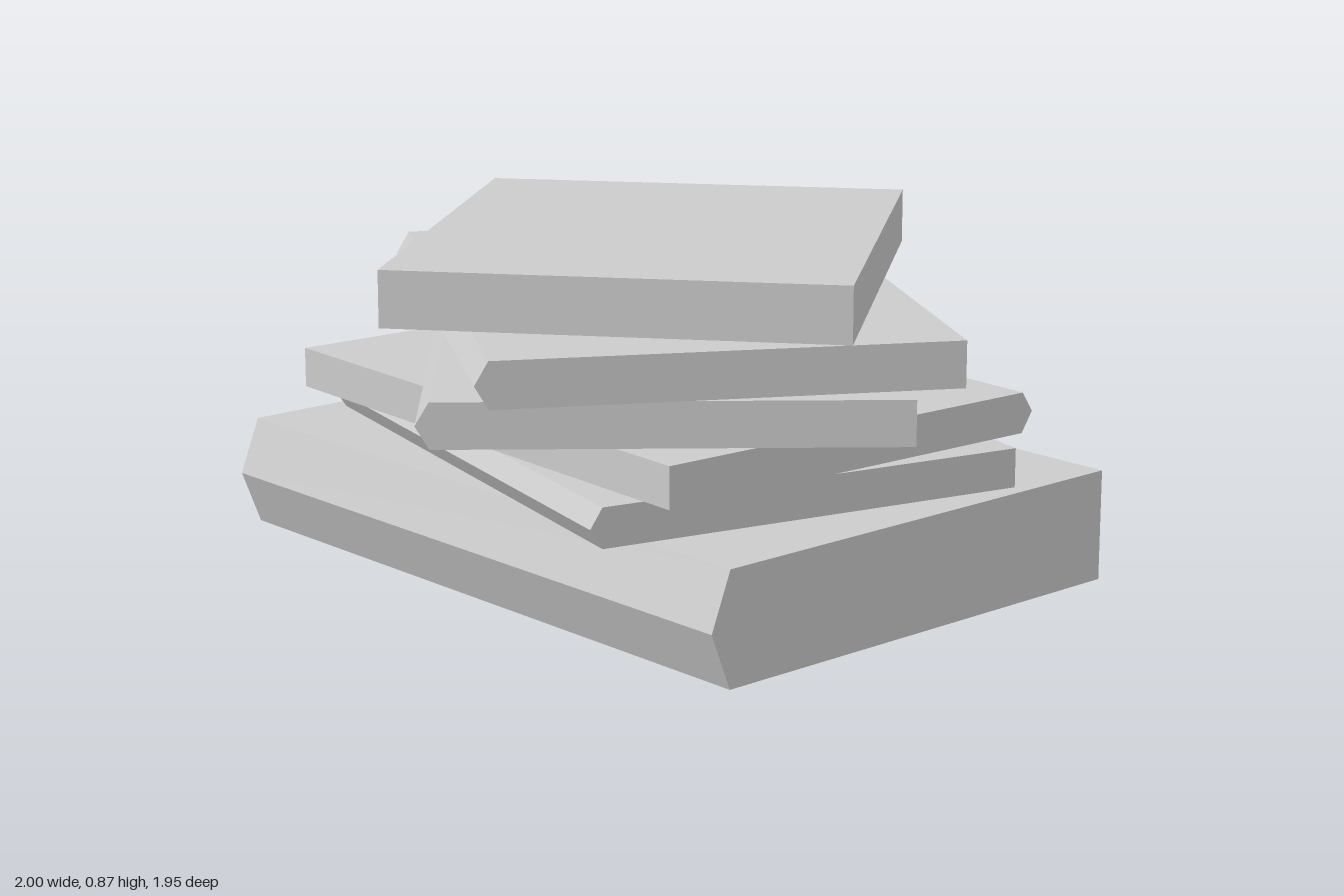
import * as THREE from 'three';

const material = new THREE.MeshStandardMaterial({ color: 0xcccccc, flatShading: true });

// Closed book: box profile with a pointed spine on +z, extruded along x.
// width = along the spine, depth = overall including the spine.
function makeBook(width, height, depth, spine) {
  const half = depth / 2;
  const profile = new THREE.Shape();
  profile.moveTo(-half, 0);
  profile.lineTo(half - spine, 0);
  if (spine > 0) profile.lineTo(half, height / 2);
  profile.lineTo(half - spine, height);
  profile.lineTo(-half, height);
  profile.closePath();
  const geometry = new THREE.ExtrudeGeometry(profile, { depth: width, bevelEnabled: false });
  geometry.translate(0, 0, -width / 2);
  geometry.rotateY(-Math.PI / 2); // profile x becomes +z
  return new THREE.Mesh(geometry, material);
}

export function createModel() {
  const group = new THREE.Group();
  group.name = 'bookStack';

  // Bottom to top; turn is the heading of the spine in degrees.
  const books = [
    { name: 'bottomBook', width: 1.87, height: 0.287, depth: 1.342, spine: 0.057, turn: 0 },
    { name: 'secondBook', width: 1.555, height: 0.1, depth: 1.177, spine: 0.032, turn: -13.8 },
    { name: 'thirdBook', width: 1.552, height: 0.105, depth: 1.172, spine: 0.034, turn: 176.9 },
    { name: 'fourthBook', width: 1.628, height: 0.114, depth: 1.172, spine: 0.034, turn: -40.4 },
    { name: 'fifthBook', width: 1.623, height: 0.116, depth: 1.173, spine: 0.034, turn: -30.8 },
    { name: 'topBook', width: 1.312, height: 0.143, depth: 1.142, spine: 0, turn: -51.1 },
  ];

  let y = 0;
  for (const { name, width, height, depth, spine, turn } of books) {
    const book = makeBook(width, height, depth, spine);
    book.name = name;
    book.position.y = y;
    book.rotation.y = THREE.MathUtils.degToRad(turn);
    group.add(book);
    y += height;
  }
  return group;
}
